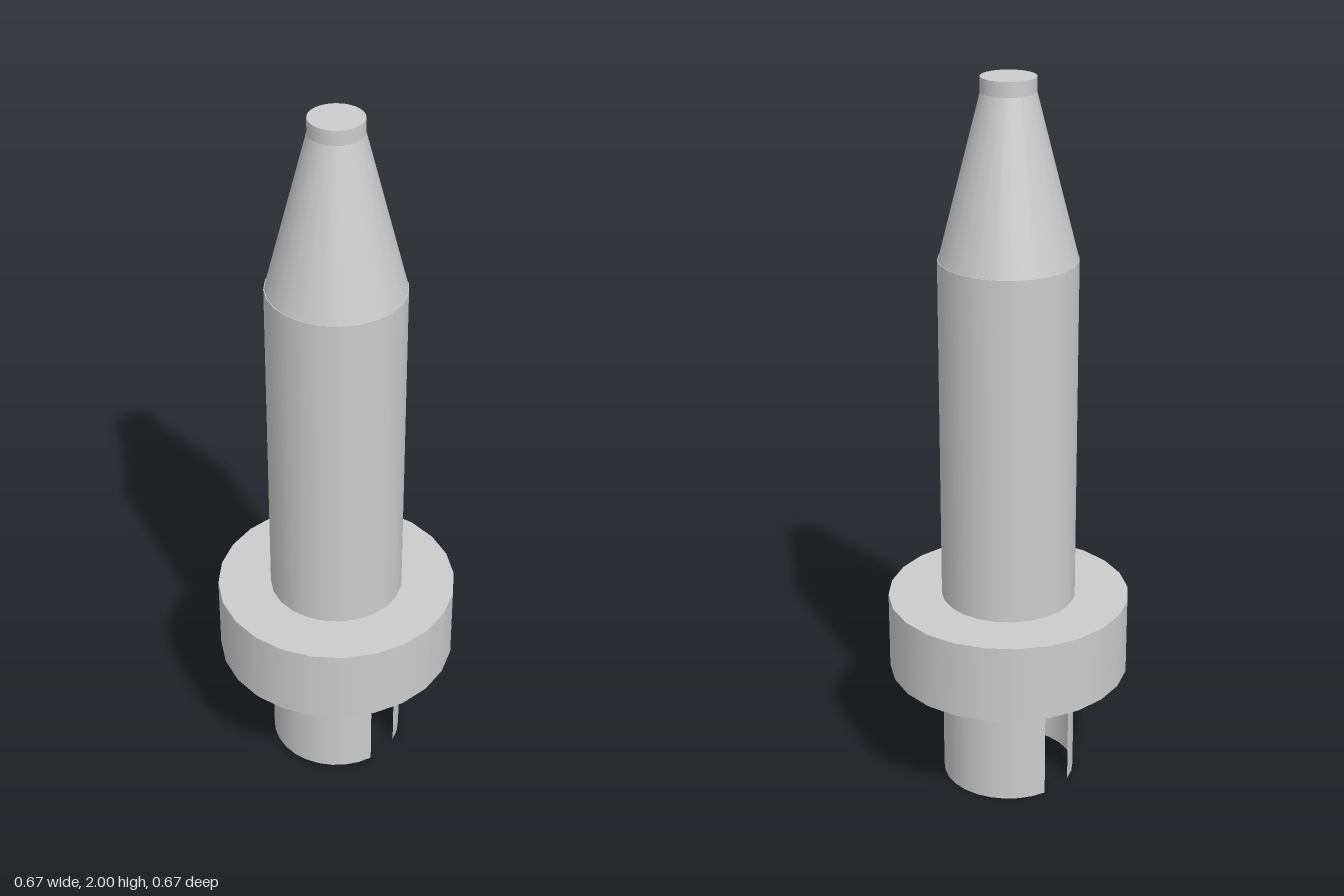
import * as THREE from 'three';

const SIDES = 24;
const R = 0.185; // shaft radius

export function createModel() {
  const model = new THREE.Group();
  const material = new THREE.MeshStandardMaterial({ color: 0xcccccc });
  const thin = new THREE.MeshStandardMaterial({ color: 0xcccccc, side: THREE.DoubleSide });

  // Round section standing between two heights
  const section = (name, y0, y1, rBottom, rTop, sides = SIDES) => {
    const mesh = new THREE.Mesh(new THREE.CylinderGeometry(rTop, rBottom, y1 - y0, sides), material);
    mesh.name = name;
    mesh.position.y = (y0 + y1) / 2;
    model.add(mesh);
  };

  section('collar', 0.34, 0.56, 0.333, 0.333);
  section('shaft', 0.5, 1.525, R, R);
  section('taper', 1.525, 1.965, R - 0.002, 0.071);
  section('tip', 1.96, 2, 0.072, 0.072, 32);

  // Hollow lower sleeve, split by a slot running along x
  const slot = Math.asin(0.05 / R);
  for (const [name, middle] of [['frontSleeveHalf', 0], ['backSleeveHalf', Math.PI]]) {
    const half = Math.PI / 2 - slot;
    const mesh = new THREE.Mesh(
      new THREE.CylinderGeometry(R, R, 0.34, 12, 1, true, middle - half, half * 2), thin);
    mesh.name = name;
    mesh.position.y = 0.17;
    model.add(mesh);
  }
  return model;
}
